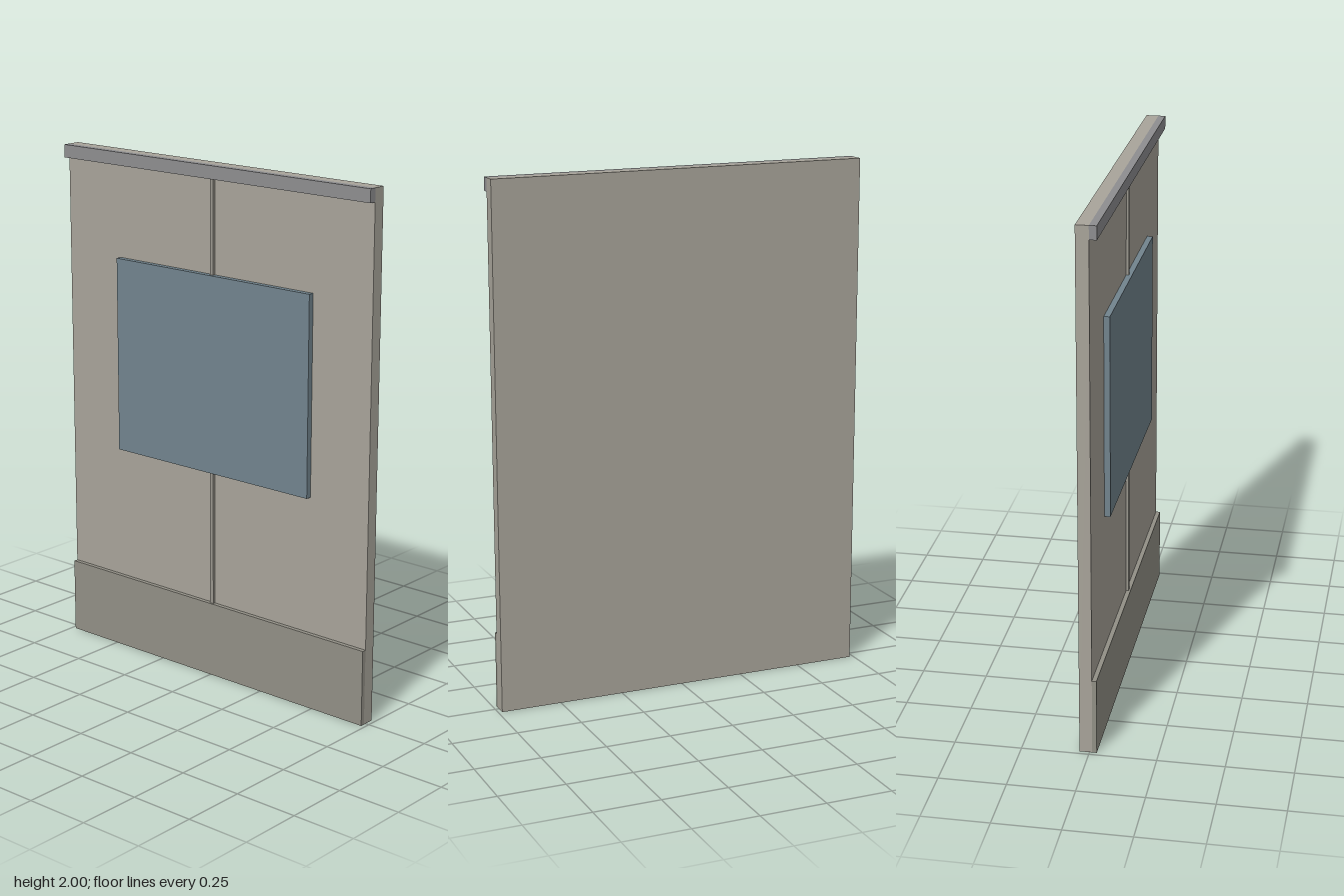
import * as THREE from 'three';

// Box given by its extents; x is symmetric about the centre
function slab(name, halfWidth, [y0, y1], [z0, z1], color) {
  const mesh = new THREE.Mesh(
    new THREE.BoxGeometry(halfWidth * 2, y1 - y0, z1 - z0),
    new THREE.MeshStandardMaterial({ color })
  );
  mesh.position.set(0, (y0 + y1) / 2, (z0 + z1) / 2);
  mesh.name = name;
  return mesh;
}

export function createModel() {
  const group = new THREE.Group();
  group.name = 'wallPanel';

  const halfWidth = 0.735;
  const back = -0.037;
  const face = 0.01; // front surface of the wall

  group.add(
    slab('wall', halfWidth, [0, 2], [back, face], 0xa8a49a),
    // skirting and top rail stand proud of the wall
    slab('skirting', halfWidth, [0, 0.295], [face, 0.027], 0x929086),
    slab('topRail', halfWidth, [1.95, 2], [face, 0.037], 0x8e8e90),
    // thin raised strip covering the centre joint
    slab('jointStrip', 0.008, [0.295, 1.95], [face, 0.02], 0x9a978e),
    // blue board hung on the wall
    slab('board', 0.47, [0.825, 1.59], [face, 0.032], 0x72848e)
  );
  return group;
}
